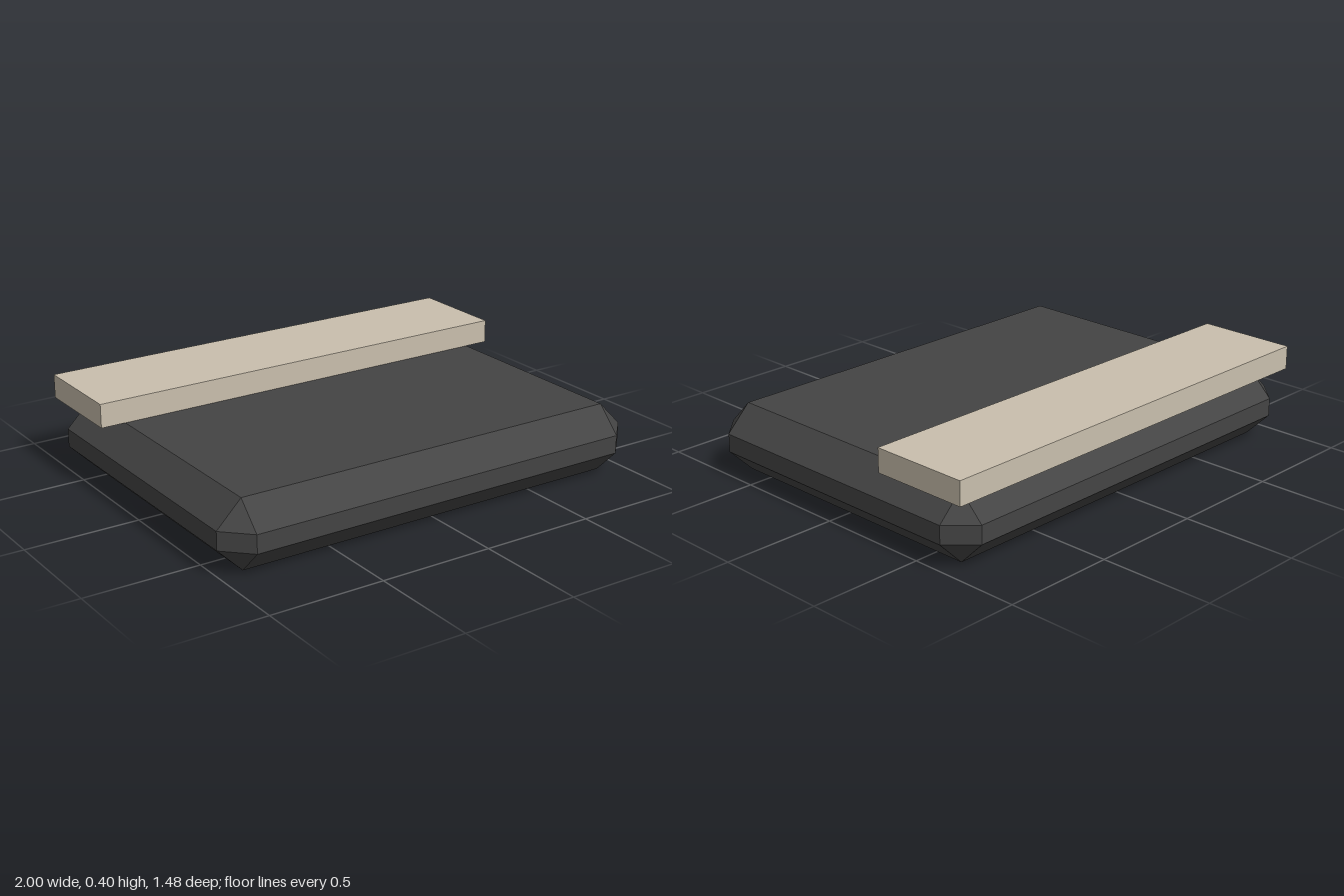
import * as THREE from 'three';
import { ConvexGeometry } from 'three/addons/geometries/ConvexGeometry.js';

export function createModel() {
  const model = new THREE.Group();
  model.name = 'cushionWithBackSlab';
  const charcoal = new THREE.MeshStandardMaterial({ name: 'charcoal', color: 0x444444 });
  const cream = new THREE.MeshStandardMaterial({ name: 'cream', color: 0xc9bfad });

  // Cushion: a block with every edge and corner chamfered
  const outer = { x: 1, z: 0.74 };
  const inner = { x: 0.89, z: 0.63 };
  const points = [];
  for (const sx of [-1, 1]) {
    for (const sz of [-1, 1]) {
      for (const y of [0, 0.3]) points.push(new THREE.Vector3(sx * inner.x, y, sz * inner.z));
      for (const y of [0.11, 0.19]) {
        points.push(new THREE.Vector3(sx * outer.x, y, sz * inner.z));
        points.push(new THREE.Vector3(sx * inner.x, y, sz * outer.z));
      }
    }
  }
  const cushion = new THREE.Mesh(new ConvexGeometry(points), charcoal);
  cushion.name = 'cushion';
  model.add(cushion);

  // Slab resting along the back edge
  const slab = new THREE.Mesh(new THREE.BoxGeometry(2, 0.104, 0.44), cream);
  slab.name = 'backSlab';
  slab.position.set(0, 0.352, -0.52);
  model.add(slab);

  return model;
}
